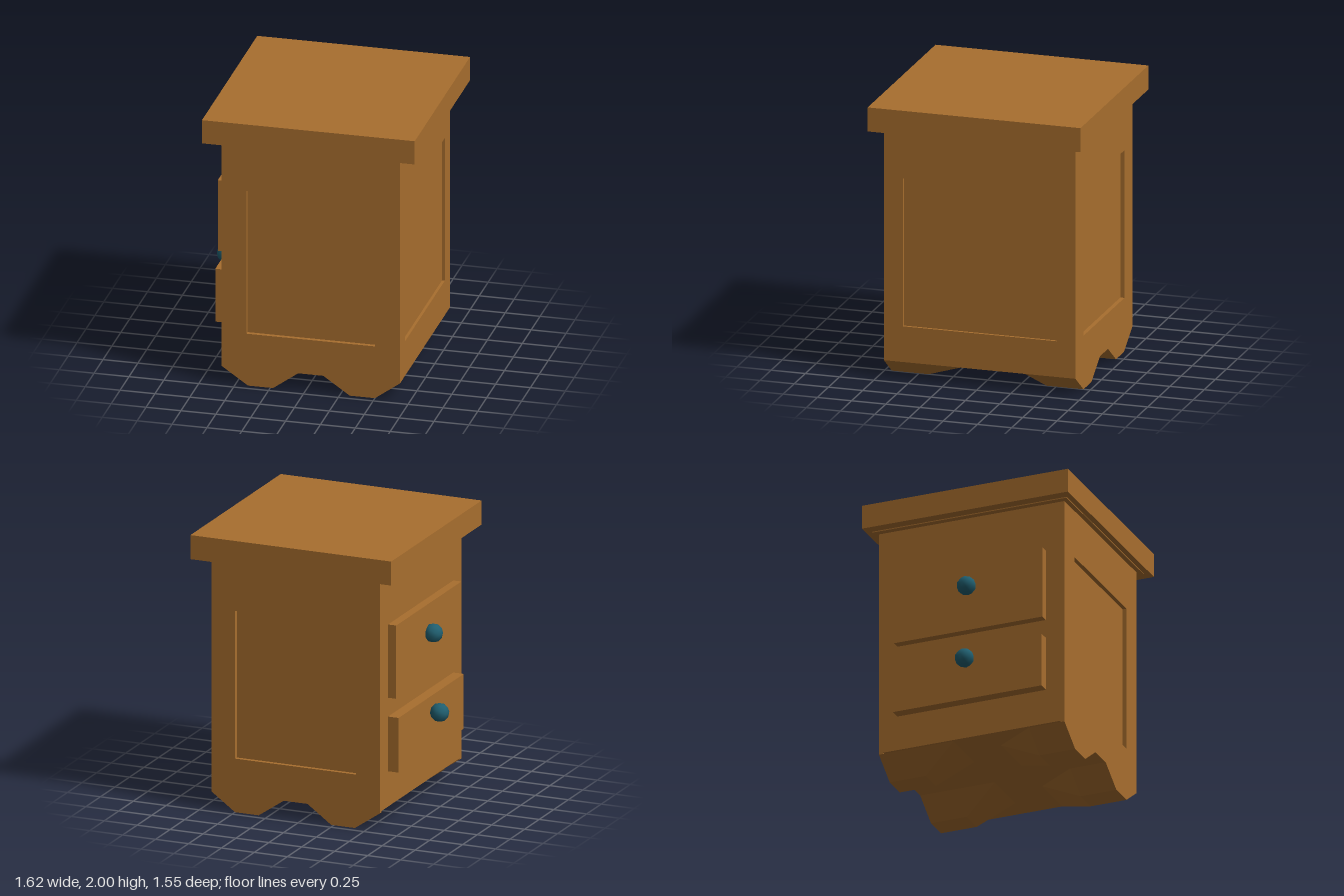
import * as THREE from 'three';

const BASE = 0.13, TOP = 1.82;
const X = [-0.6, -0.41, -0.23, -0.05, 0.13, 0.32, 0.5, 0.68];
const Z = [-0.67, -0.43, -0.14, 0.14, 0.43, 0.67];
const isFoot = (i) => i === 1 || i === 2 || i === 5 || i === 6;

export function createModel() {
  const group = new THREE.Group();
  const wood = new THREE.MeshStandardMaterial({ color: 0xa86e2e });
  wood.name = 'wood';
  const teal = new THREE.MeshStandardMaterial({ color: 0x205f70 });
  teal.name = 'teal';

  const add = (name, geometry, material = wood) => {
    const mesh = new THREE.Mesh(geometry, material);
    mesh.name = name;
    group.add(mesh);
    return mesh;
  };
  // Box given by its extents
  const box = (name, x0, x1, y0, y1, z0, z1) =>
    add(name, new THREE.BoxGeometry(x1 - x0, y1 - y0, z1 - z0))
      .position.set((x0 + x1) / 2, (y0 + y1) / 2, (z0 + z1) / 2);
  // Wall with a rectangular opening that leaves a recessed panel
  const frame = (outline, u0, u1, depth) => {
    const shape = new THREE.Shape(outline.map(([u, v]) => new THREE.Vector2(u, v)));
    shape.holes.push(new THREE.Path([[u0, 0.39], [u0, 1.465], [u1, 1.465], [u1, 0.39]]
      .map(([u, v]) => new THREE.Vector2(u, v))));
    return new THREE.ExtrudeGeometry(shape, { depth, bevelEnabled: false });
  };

  // Cabinet core; its faces are the recessed panels
  box('cabinetBody', -0.6, 0.66, BASE + 0.01, TOP, -0.67, 0.67);

  // Front and back walls with the scalloped foot outline
  const scallop = X.map((x, i) => [x, isFoot(i) ? 0 : BASE]);
  const outline = [...scallop, [0.68, TOP], [-0.6, TOP]];
  add('frontFrame', frame(outline, -0.42, 0.5, 0.03)).position.z = 0.67;
  add('backFrame', frame(outline, -0.42, 0.5, 0.03)).position.z = -0.7;

  // Plain side wall
  const side = frame([[-0.67, BASE], [0.67, BASE], [0.67, TOP], [-0.67, TOP]], -0.56, 0.56, 0.02);
  add('sideFrame', side.rotateY(Math.PI / 2)).position.x = 0.66;

  // Underside with four faceted feet
  const points = [];
  const corner = (i, j) =>
    [X[i], isFoot(i) && j !== 2 && j !== 3 ? 0 : BASE, Z[j]];
  for (let i = 0; i < X.length - 1; i++) {
    for (let j = 0; j < Z.length - 1; j++) {
      const a = corner(i, j), b = corner(i + 1, j);
      const c = corner(i + 1, j + 1), d = corner(i, j + 1);
      points.push(...a, ...b, ...d, ...b, ...c, ...d);
    }
  }
  const underside = new THREE.BufferGeometry();
  underside.setAttribute('position', new THREE.Float32BufferAttribute(points, 3));
  underside.computeVertexNormals();
  add('feet', underside);

  // Table top with a thin moulding below it
  box('tableTop', -0.72, 0.805, 1.825, 2, -0.777, 0.777);
  box('topMoulding', -0.645, 0.73, 1.818, 1.826, -0.735, 0.735);

  // Drawers and their knobs
  box('upperDrawer', -0.662, -0.59, 0.932, 1.465, -0.56, 0.56);
  box('lowerDrawer', -0.68, -0.59, 0.397, 0.795, -0.56, 0.56);
  const knob = new THREE.IcosahedronGeometry(0.068, 1);
  add('upperKnob', knob, teal).position.set(-0.697, 1.256, 0);
  add('lowerKnob', knob, teal).position.set(-0.742, 0.682, 0.005);

  return group;
}
